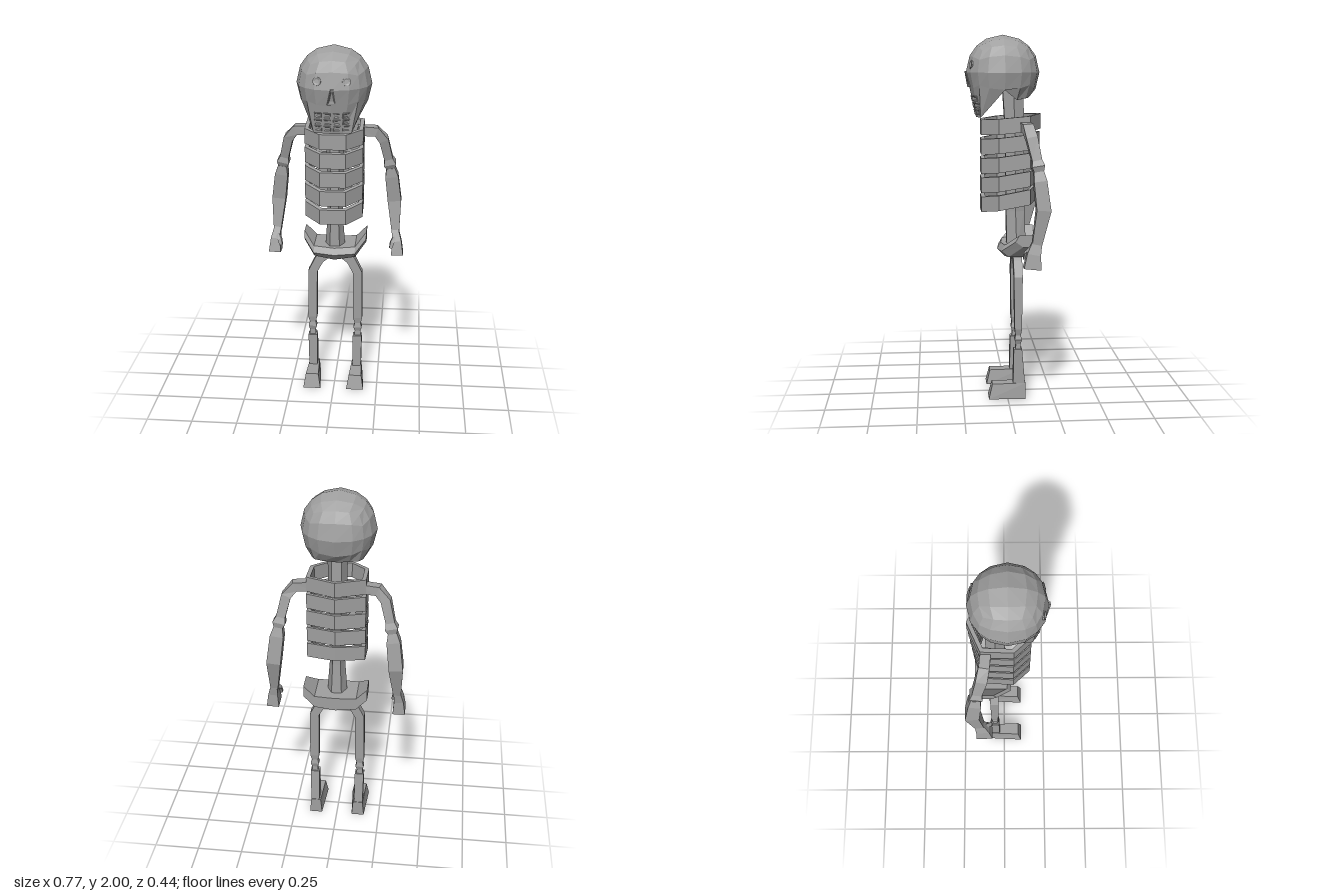
import * as THREE from 'three';

const V = (x, y, z) => new THREE.Vector3(x, y, z);
const bone = new THREE.MeshStandardMaterial({ color: 0xa0a0a0, flatShading: true });
bone.name = 'bone grey';

function part(name, geometry) {
  const mesh = new THREE.Mesh(geometry, bone);
  mesh.name = name;
  return mesh;
}

// Skin between equal-length rings (counter-clockwise about the path), capped at both ends
function loft(rings) {
  const pos = [], n = rings[0].length;
  const tri = (...p) => p.forEach((v) => pos.push(v.x, v.y, v.z));
  for (let i = 0; i < rings.length - 1; i++) {
    for (let j = 0; j < n; j++) {
      const k = (j + 1) % n, a = rings[i], b = rings[i + 1];
      tri(a[j], a[k], b[k]);
      tri(a[j], b[k], b[j]);
    }
  }
  const first = rings[0], last = rings[rings.length - 1];
  for (let j = 1; j < n - 1; j++) {
    tri(first[0], first[j + 1], first[j]);
    tri(last[0], last[j], last[j + 1]);
  }
  const g = new THREE.BufferGeometry();
  g.setAttribute('position', new THREE.Float32BufferAttribute(pos, 3));
  g.computeVertexNormals();
  return g;
}

// Limb along points [x, y, z, half width, half depth]; side = 1 or -1 mirrors it
function limb(path, side = 1, sides = 4) {
  const c = path.map((p) => V(p[0] * side, p[1], p[2]));
  const size = sides === 4 ? Math.SQRT2 : 1;
  const turn = sides === 4 ? Math.PI / 4 : 0;
  return loft(c.map((p, i) => {
    const t = c[Math.min(i + 1, c.length - 1)].clone().sub(c[Math.max(i - 1, 0)]).normalize();
    const v = V(0, 0, 1).addScaledVector(t, -t.z).normalize();
    const u = v.clone().cross(t);
    return Array.from({ length: sides }, (_, j) => {
      const a = turn + (j / sides) * Math.PI * 2;
      return p.clone()
        .addScaledVector(u, Math.cos(a) * size * path[i][3])
        .addScaledVector(v, Math.sin(a) * size * path[i][4]);
    });
  }));
}

// Rounded-cube cranium whose lower front is pulled down into a jaw
function skullGeometry() {
  const g = new THREE.BoxGeometry(2, 2, 2, 4, 4, 4);
  const p = g.attributes.position;
  const underside = [1.665, 1.655, 1.71, 1.63, 1.56];
  for (let i = 0; i < p.count; i++) {
    const c = V(p.getX(i), p.getY(i), p.getZ(i));
    const v = c.clone().setLength(0.2).add(V(0, 1.8, 0.018));
    if (c.y < -0.99) {
      v.y = underside[Math.round((c.z + 1) * 2)];
      if (c.z > 0.99) v.set(c.x * 0.1, v.y, 0.164 - 0.02 * Math.abs(c.x));
    }
    p.setXYZ(i, v.x, v.y, v.z);
  }
  g.computeVertexNormals();
  return g;
}

// Shallow dished socket with a raised rim, from an outline of [x, y] points
function socketGeometry(outline) {
  const ring = (s, z) => outline.map(([x, y]) => V(x * s, y * s, z));
  return loft([ring(1, -0.004), ring(1, 0.005), ring(0.82, 0.005), ring(0.5, 0.001)]);
}

function ribGeometry(i) {
  const back = -0.19 + i * 0.006, slope = 0.09 + i * 0.025;
  const outline = [[-0.07, 0.14], [0.07, 0.14], [0.157, 0.05], [0.157, -0.12],
    [0, back], [-0.157, -0.12], [-0.157, 0.05]];
  const points = (s) => outline.map(([x, z]) => new THREE.Vector2(x * s, -(z + 0.02) * s + 0.02));
  const shape = new THREE.Shape(points(1));
  shape.holes.push(new THREE.Path(points(0.86)));
  const g = new THREE.ExtrudeGeometry(shape, { depth: 0.083, bevelEnabled: false });
  g.rotateX(-Math.PI / 2);
  const p = g.attributes.position;
  for (let j = 0; j < p.count; j++) {
    p.setY(j, p.getY(j) + 1.465 - i * 0.105 + (0.14 - p.getZ(j)) * slope);
  }
  g.computeVertexNormals();
  return g;
}

// Wedge foot: wide sloping toe, narrow heel
function footGeometry(side) {
  const g = new THREE.BoxGeometry(2, 2, 2);
  const p = g.attributes.position;
  for (let i = 0; i < p.count; i++) {
    const top = p.getY(i) > 0, toe = p.getZ(i) > 0;
    const half = toe ? (top ? 0.036 : 0.05) : (top ? 0.028 : 0.036);
    p.setXYZ(i, side * 0.125 + p.getX(i) * half, top ? 0.092 : (toe ? 0.01 : 0),
      toe ? (top ? 0.087 : 0.107) : -0.098);
  }
  g.computeVertexNormals();
  return g;
}

export function createModel() {
  const model = new THREE.Group();
  model.name = 'skeleton';

  // Skull
  const head = new THREE.Group();
  head.name = 'head';
  const skull = part('skull', skullGeometry());
  head.add(skull);
  skull.updateMatrixWorld(true);
  const ray = new THREE.Raycaster();

  // Face details rest on the skull surface
  const onFace = (name, outline, x, y) => {
    ray.set(V(x, y, 1), V(0, 0, -1));
    const hit = ray.intersectObject(skull)[0];
    if (!hit) return;
    const m = part(name, socketGeometry(outline));
    m.position.copy(hit.point);
    m.lookAt(hit.point.clone().add(hit.face.normal));
    head.add(m);
  };
  const eye = Array.from({ length: 8 }, (_, i) =>
    [Math.cos(i * Math.PI / 4) * 0.023, Math.sin(i * Math.PI / 4) * 0.023]);
  const tooth = [[-0.019, -0.014], [0.019, -0.014], [0.019, 0.014], [-0.019, 0.014]];
  for (const s of [-1, 1]) onFace('eyeSocket', eye, s * 0.076, 1.842);
  onFace('nose', [[-0.023, -0.043], [0.023, -0.043], [0.008, 0.043], [-0.008, 0.043]], 0.001, 1.765);
  for (const y of [1.662, 1.625, 1.589]) {
    for (const x of [-0.073, -0.025, 0.025, 0.073]) onFace('tooth', tooth, x, y);
  }
  model.add(head);

  // Spine and neck
  model.add(part('spine', limb([
    [0, 0.85, -0.055, 0.056, 0.062],
    [0, 1.04, -0.05, 0.042, 0.058],
    [0, 1.5, -0.045, 0.05, 0.06],
    [0, 1.75, -0.035, 0.055, 0.066],
  ], 1, 6)));

  // Rib cage
  for (let i = 0; i < 5; i++) model.add(part('rib', ribGeometry(i)));

  // Pelvis: sections across x as [x, back z, front z, bottom y, top y]
  const hips = [[-0.175, -0.165, -0.04, 0.865, 0.93], [-0.115, -0.165, 0.035, 0.8, 0.868],
    [0, -0.165, 0.05, 0.785, 0.862], [0.115, -0.165, 0.035, 0.8, 0.868],
    [0.175, -0.165, -0.04, 0.865, 0.93]];
  model.add(part('pelvis', loft(hips.map(([x, b, f, lo, hi]) =>
    [V(x, lo, b), V(x, hi, b), V(x, hi, f - 0.02), V(x, hi - 0.035, f), V(x, lo, f - 0.04)]))));

  for (const s of [1, -1]) {
    const side = s > 0 ? 'left' : 'right';

    // Arm
    model.add(part(side + 'UpperArm', limb([
      [0.12, 1.515, -0.09, 0.026, 0.026],
      [0.22, 1.51, -0.1, 0.026, 0.028],
      [0.262, 1.46, -0.115, 0.026, 0.03],
      [0.29, 1.345, -0.14, 0.024, 0.026],
      [0.298, 1.315, -0.145, 0.034, 0.034],
      [0.303, 1.285, -0.15, 0.022, 0.024],
    ], s)));
    model.add(part(side + 'Forearm', limb([
      [0.303, 1.29, -0.148, 0.024, 0.026],
      [0.31, 1.24, -0.155, 0.036, 0.034],
      [0.328, 1.09, -0.172, 0.038, 0.038],
      [0.338, 0.9, -0.135, 0.02, 0.025],
    ], s)));
    const hand = new THREE.Group();
    hand.name = side + 'Hand';
    hand.add(part('palm', limb([
      [0.338, 0.92, -0.138, 0.018, 0.026],
      [0.347, 0.86, -0.12, 0.026, 0.036],
      [0.35, 0.785, -0.112, 0.034, 0.046],
    ], s)));
    hand.add(part('thumb', limb([
      [0.335, 0.885, -0.11, 0.011, 0.014],
      [0.32, 0.86, -0.085, 0.011, 0.013],
      [0.312, 0.83, -0.075, 0.008, 0.009],
    ], s)));
    model.add(hand);

    // Leg
    model.add(part(side + 'Thigh', limb([
      [0.045, 0.8, -0.057, 0.024, 0.024],
      [0.09, 0.765, -0.057, 0.026, 0.024],
      [0.128, 0.69, -0.057, 0.026, 0.024],
      [0.131, 0.4, -0.057, 0.026, 0.02],
      [0.131, 0.365, -0.057, 0.017, 0.015],
      [0.131, 0.34, -0.057, 0.024, 0.02],
      [0.131, 0.315, -0.057, 0.016, 0.013],
      [0.131, 0.28, -0.057, 0.018, 0.015],
    ], s)));
    model.add(part(side + 'Shin', limb([
      [0.13, 0.287, -0.055, 0.026, 0.023],
      [0.128, 0.09, -0.062, 0.024, 0.033],
      [0.126, 0.04, -0.064, 0.03, 0.033],
    ], s)));
    model.add(part(side + 'Foot', footGeometry(s)));
  }
  return model;
}
